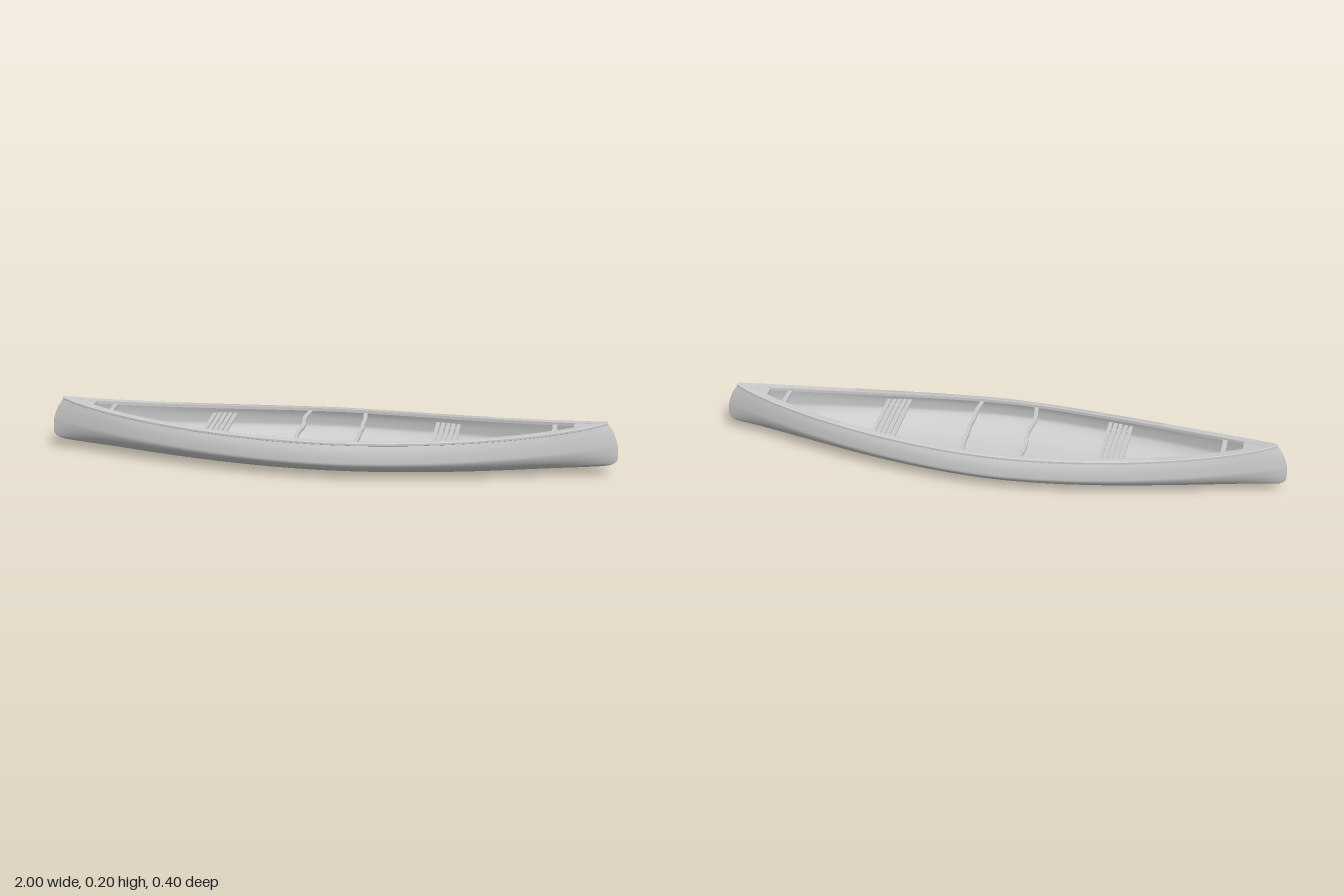
import * as THREE from 'three';
import { toCreasedNormals, mergeVertices } from 'three/addons/utils/BufferGeometryUtils.js';

const material = new THREE.MeshStandardMaterial({ color: 0xcccccc, side: THREE.DoubleSide });

// Hull lines, as functions of s = position along the length, -1..1
const beam = (s) => 0.005 + 0.193 * (1 - Math.abs(s) ** 1.7);
const keel = (s) => 0.037 * s * s;
const sheer = (s) => 0.135 + 0.057 * Math.abs(s) ** 2.5;
const rimZ = (s) => beam(s) * 0.925;
const openingZ = (s) => Math.max(0, rimZ(s) - 0.013 - 0.014 * s * s);

// Rake and rounding of the stem, by height fraction h
const stemCurve = new THREE.SplineCurve([
  [0.955, 0], [0.985, 0.06], [1, 0.2], [0.997, 0.5], [0.982, 0.78], [0.96, 1],
].map((p) => new THREE.Vector2(...p)));
const stemPoints = stemCurve.getPoints(60);
function stem(h) {
  const k = stemPoints.findIndex((p) => p.y >= h - 1e-6);
  return stemPoints[k < 0 ? 60 : k].x;
}
const stationX = (s, h) => s * (1 - (1 - stem(h)) * Math.abs(s) ** 8);

// Half cross-section from keel to rim: (width fraction, height fraction)
const halfSection = new THREE.SplineCurve([
  [0, 0], [0.2, 0.004], [0.45, 0.05], [0.63, 0.11], [0.86, 0.26],
  [0.985, 0.43], [1, 0.56], [0.98, 0.8], [0.925, 1],
].map((p) => new THREE.Vector2(...p))).getPoints(24);

// Surface through rows of points; closed joins each row into a loop
function loft(rows, closed) {
  const n = rows[0].length;
  const pos = rows.flat(2);
  const index = [];
  for (let i = 0; i < rows.length - 1; i++) {
    for (let j = 0; j < (closed ? n : n - 1); j++) {
      const a = i * n + j, b = i * n + ((j + 1) % n);
      index.push(a, b, a + n, b, b + n, a + n);
    }
  }
  const geo = new THREE.BufferGeometry();
  geo.setAttribute('position', new THREE.Float32BufferAttribute(pos, 3));
  geo.setIndex(index);
  return geo;
}

// Stations from s0 to s1, spaced closer at the ends
function stations(s0, s1, count) {
  return Array.from({ length: count + 1 }, (_, i) =>
    (s0 + s1) / 2 - ((s1 - s0) / 2) * Math.cos((Math.PI * i) / count));
}

const flatten = (row) => row.map(([x, y]) => [x, y, 0]);

function hullRow(s, inset) {
  const point = (p, side) => {
    const a = p.x ** (1 + 0.5 * s ** 4);
    const z = Math.max(0, beam(s) * a - inset * Math.min(1, a * 4));
    const y = THREE.MathUtils.lerp(keel(s), sheer(s), p.y) + inset * (1 - p.y);
    return [stationX(s, p.y), Math.max(0, y), side * z];
  };
  return [
    ...halfSection.slice(1).reverse().map((p) => point(p, 1)),
    ...halfSection.map((p) => point(p, -1)),
  ];
}

function outerHull() {
  const rows = stations(-1, 1, 64).map((s) => hullRow(s, 0));
  const geo = loft([flatten(rows[0]), ...rows, flatten(rows[rows.length - 1])], false);
  geo.computeVertexNormals();
  return geo;
}

function innerHull() {
  const rows = stations(-0.96, 0.96, 56).map((s) => hullRow(s, 0.007).reverse());
  const geo = loft(rows, false);
  geo.computeVertexNormals();
  return geo;
}

// Rim rail: a flat-topped strip that widens into the pointed ends
function rail(side) {
  const rows = stations(-1, 1, 64).map((s) => {
    const x = stationX(s, 1), y = sheer(s);
    const out = rimZ(s) + 0.002 + 0.006 * (1 - s ** 4), inner = openingZ(s);
    const loop = [
      [x, y + 0.004, out], [x, y - 0.003, out], [x, y - 0.005, out - 0.004],
      [x, y - 0.005, inner], [x, y + 0.006, inner], [x, y + 0.006, Math.max(inner, out - 0.003)],
    ].map(([px, py, pz]) => [px, py, side * pz]);
    return side > 0 ? loop : loop.reverse();
  });
  const geo = loft([flatten(rows[0]), ...rows, flatten(rows[rows.length - 1])], true);
  return toCreasedNormals(geo, 0.6);
}

// Small plate that closes the rim at each end
function endDeck(end) {
  const list = [0.855, 0.88, 0.905, 0.93, 0.95].map((s) => s * end);
  if (end < 0) list.reverse();
  const rows = list.map((s) => {
    const x = stationX(s, 1), y = sheer(s), w = openingZ(s) + 0.002;
    return [[x, y + 0.005, w], [x, y - 0.004, w], [x, y - 0.004, -w], [x, y + 0.005, -w]];
  });
  const geo = loft([flatten(rows[0]), ...rows, flatten(rows[rows.length - 1])], true);
  return toCreasedNormals(geo, 0.5);
}

// Crossbar whose centreline is shifted along x by bend(t), t = -1..1
function crossbar(width, height, halfLength, bend) {
  const geo = new THREE.BoxGeometry(width, height, halfLength * 2, 1, 1, 36);
  const p = geo.attributes.position;
  for (let i = 0; i < p.count; i++) p.setX(i, p.getX(i) + bend(p.getZ(i) / halfLength));
  return toCreasedNormals(mergeVertices(geo), 0.6);
}

export function createModel() {
  const model = new THREE.Group();
  model.name = 'canoe';
  const add = (name, geo, parent = model, x = 0, y = 0, z = 0) => {
    const mesh = new THREE.Mesh(geo, material);
    mesh.name = name;
    mesh.position.set(x, y, z);
    parent.add(mesh);
    return mesh;
  };

  add('outerHull', outerHull());
  add('innerHull', innerHull());
  add('leftSideRail', rail(1));
  add('rightSideRail', rail(-1));

  // Two thwarts: a gently waved one and a notched carrying yoke
  add('thwart', crossbar(0.014, 0.009, rimZ(0.1) - 0.004,
    (t) => 0.004 * Math.cos(t * Math.PI * 2)), model, -0.1, 0.128);
  add('yoke', crossbar(0.014, 0.009, rimZ(0.1) - 0.004,
    (t) => 0.008 * Math.exp(-((t / 0.22) ** 2)) - 0.003 * Math.cos(t * Math.PI * 2)), model, 0.107, 0.128);

  for (const end of [-1, 1]) {
    const label = end > 0 ? 'left' : 'right';
    add(label + 'EndDeck', endDeck(end));

    // Carrying handle near the tip
    add(label + 'CarryHandle', new THREE.BoxGeometry(0.016, 0.009, 2 * rimZ(0.785) - 0.008),
      model, 0.78 * end, sheer(0.78) - 0.006);

    // Slatted seat on two bearers
    const seat = new THREE.Group();
    seat.name = label + 'Seat';
    model.add(seat);
    for (let i = 0; i < 5; i++) {
      const x = 0.366 + i * 0.0185;
      add('seatSlat', new THREE.BoxGeometry(0.0135, 0.006, 2 * (beam(x) * 0.965 - 0.005)), seat, x * end, 0.112);
    }
    for (const side of [-1, 1]) {
      add('seatBearer', new THREE.BoxGeometry(0.088, 0.007, 0.012), seat, 0.403 * end, 0.106, side * 0.115);
    }
  }
  return model;
}
